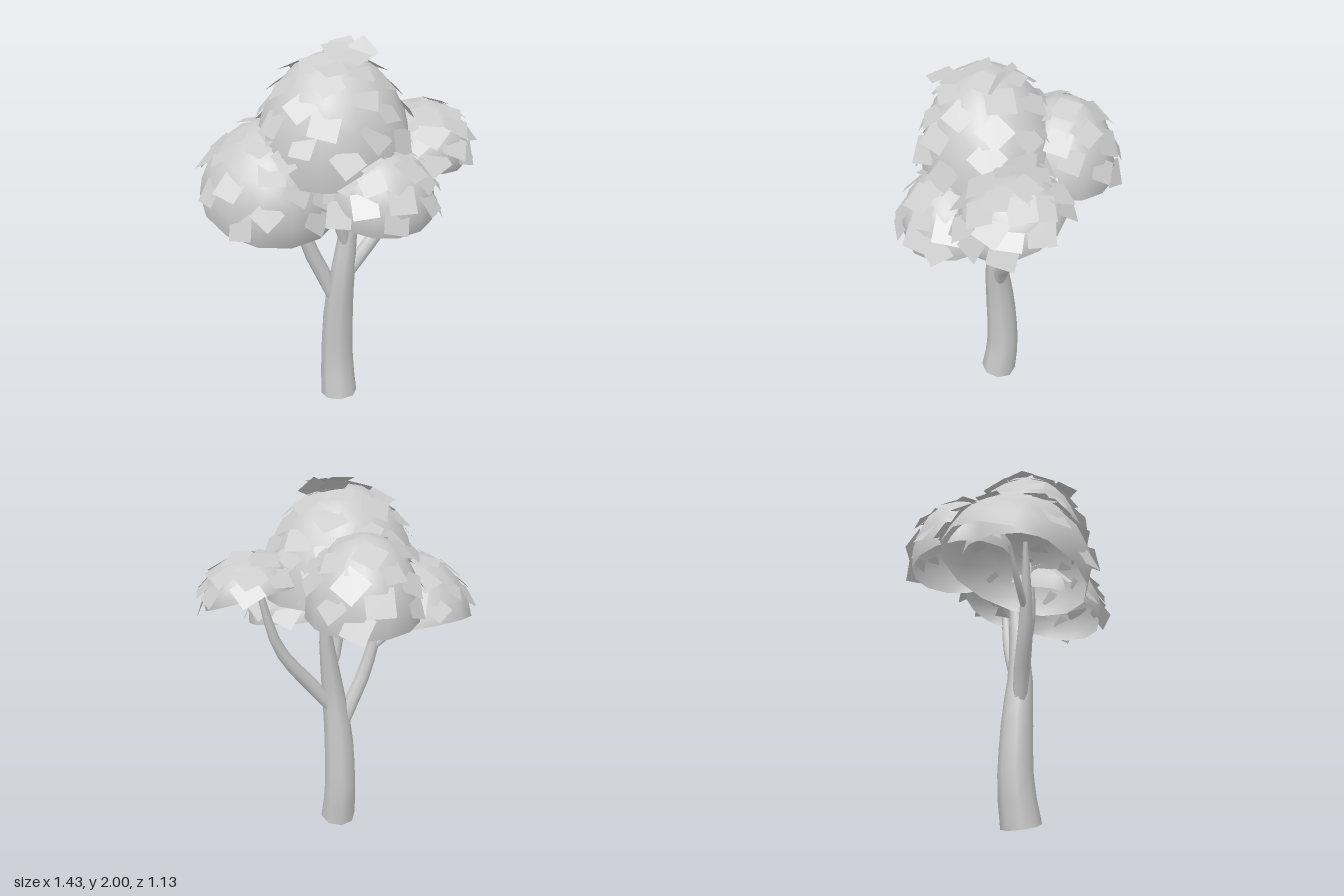
import * as THREE from 'three';

const bark = new THREE.MeshStandardMaterial({ color: 0xcccccc, side: THREE.DoubleSide });
const foliage = new THREE.MeshStandardMaterial({ color: 0xcccccc, side: THREE.DoubleSide });

// Small seeded generator for the leaf scatter
let seed = 7;
const rand = () => {
  seed = (seed * 16807) % 2147483647;
  return seed / 2147483647;
};
const spread = (a) => (rand() - 0.5) * 2 * a;

// Tapered limb: stations are [x, y, z, radius]
function limb(name, stations, sides = 8) {
  const curve = new THREE.CatmullRomCurve3(stations.map(([x, y, z]) => new THREE.Vector3(x, y, z)));
  const steps = (stations.length - 1) * 2;
  const geo = new THREE.TubeGeometry(curve, steps, 1, sides, false);
  const pos = geo.attributes.position;
  const p = new THREE.Vector3();
  for (let i = 0; i <= steps; i++) {
    const centre = curve.getPointAt(i / steps);
    // radius follows the height of the ring between its two stations
    let k = 0;
    while (k < stations.length - 2 && centre.y > stations[k + 1][1]) k++;
    const [a, b] = [stations[k], stations[k + 1]];
    const t = THREE.MathUtils.clamp((centre.y - a[1]) / (b[1] - a[1]), 0, 1);
    const r = THREE.MathUtils.lerp(a[3], b[3], t);
    for (let j = 0; j <= sides; j++) {
      const n = i * (sides + 1) + j;
      p.fromBufferAttribute(pos, n).sub(centre).multiplyScalar(r).add(centre);
      pos.setXYZ(n, p.x, p.y, p.z);
    }
  }
  const mesh = new THREE.Mesh(geo, bark);
  mesh.name = name;
  return mesh;
}

// Open dome of foliage with square leaf cards whose lower edges stand proud
function crown({ name, at, size, tilt, cards }) {
  const group = new THREE.Group();
  group.name = name;
  const [rx, h, rz] = size;
  const turn = new THREE.Euler(tilt[0], 0, tilt[1]);

  const geo = new THREE.SphereGeometry(1, 14, 6, 0, Math.PI * 2, 0, Math.PI * 0.52);
  geo.scale(rx, h, rz);
  const dome = new THREE.Mesh(geo, foliage);
  dome.name = name + 'Dome';
  dome.rotation.copy(turn);
  group.add(dome);

  const up = new THREE.Vector3(0, 1, 0);
  const front = new THREE.Vector3(0, 0, 1);
  for (let i = 0; i < cards; i++) {
    const y = 0.97 - 0.87 * ((i + 0.5) / cards);
    const ring = Math.sqrt(1 - y * y);
    const angle = i * 2.39996 + spread(0.2);
    const unit = new THREE.Vector3(ring * Math.cos(angle), y, ring * Math.sin(angle));
    const normal = new THREE.Vector3(unit.x / rx, unit.y / h, unit.z / rz).normalize().applyEuler(turn);
    const spot = unit.multiply(new THREE.Vector3(rx, h, rz)).applyEuler(turn);
    const facing = normal.clone().addScaledVector(up, 0.45)
      .add(new THREE.Vector3(spread(0.22), 0, spread(0.22))).normalize();
    const side = 0.11 + rand() * 0.03;
    const card = new THREE.Mesh(new THREE.PlaneGeometry(side, side), foliage);
    card.name = name + 'Leaf';
    card.quaternion.setFromUnitVectors(front, facing);
    card.rotateZ(rand() * Math.PI);
    card.position.copy(spot).addScaledVector(normal, 0.004);
    group.add(card);
  }
  group.position.set(...at);
  return group;
}

export function createModel() {
  const tree = new THREE.Group();
  tree.name = 'tree';

  // Trunk and branches
  tree.add(
    limb('trunk', [
      [0, 0, 0.065, 0.1], [-0.008, 0.2, 0.04, 0.09], [0, 0.55, 0.05, 0.08],
      [0.022, 0.78, 0.065, 0.064], [0.05, 1, 0.055, 0.048], [0.07, 1.2, 0.04, 0.032],
      [0.06, 1.5, 0.02, 0.015],
    ]),
    limb('rightBranch', [
      [-0.02, 0.57, 0.06, 0.025], [-0.07, 0.72, 0.07, 0.043], [-0.15, 0.9, 0.09, 0.04],
      [-0.2, 1.06, 0.1, 0.033], [-0.28, 1.4, 0.1, 0.012],
    ]),
    limb('rightBranchFork', [
      [-0.19, 1.04, 0.1, 0.02], [-0.29, 1.15, 0.06, 0.018], [-0.38, 1.32, 0.02, 0.01],
    ]),
    limb('middleBranch', [
      [0.035, 0.92, 0.08, 0.02], [0.005, 1.04, 0.11, 0.036], [-0.02, 1.2, 0.12, 0.03],
      [-0.04, 1.5, 0.12, 0.012],
    ]),
    limb('leftBranch', [
      [0.05, 0.74, 0.05, 0.03], [0.13, 0.86, 0.035, 0.042], [0.24, 1, 0.01, 0.036],
      [0.33, 1.15, -0.01, 0.028], [0.42, 1.5, -0.03, 0.014],
    ]),
  );

  // Foliage crowns: tilt is about x, then z
  const crowns = [
    { name: 'topCrown', at: [-0.03, 1.4, 0.08], size: [0.39, 0.53, 0.35], tilt: [0.1, 0], cards: 38 },
    { name: 'rightCrown', at: [-0.34, 1.21, 0.04], size: [0.36, 0.38, 0.39], tilt: [0.34, -0.1], cards: 30 },
    { name: 'frontCrown', at: [0.17, 1.22, 0.24], size: [0.28, 0.29, 0.28], tilt: [0.25, -0.06], cards: 24 },
    { name: 'leftCrown', at: [0.45, 1.43, -0.03], size: [0.23, 0.21, 0.25], tilt: [0.32, -0.2], cards: 24 },
    { name: 'backCrown', at: [-0.06, 1.4, -0.24], size: [0.28, 0.37, 0.28], tilt: [-0.1, 0], cards: 24 },
  ];
  crowns.forEach((c) => tree.add(crown(c)));

  // Loose leaves standing up at the very top: x, y, z, pitch, roll
  [[0.03, 1.93, 0.02, -0.9, 0.3], [0.11, 1.92, 0.06, -0.7, 0.6], [-0.02, 1.94, 0.14, -1.2, 0.2],
    [0.05, 1.92, 0.24, -1.25, 0.9], [-0.06, 1.88, 0.32, -1.3, 0.4]].forEach(([x, y, z, pitch, roll]) => {
    const leaf = new THREE.Mesh(new THREE.PlaneGeometry(0.12, 0.12), foliage);
    leaf.name = 'topLeaf';
    leaf.position.set(x, y, z);
    leaf.rotation.set(pitch, 0, roll);
    tree.add(leaf);
  });
  return tree;
}
